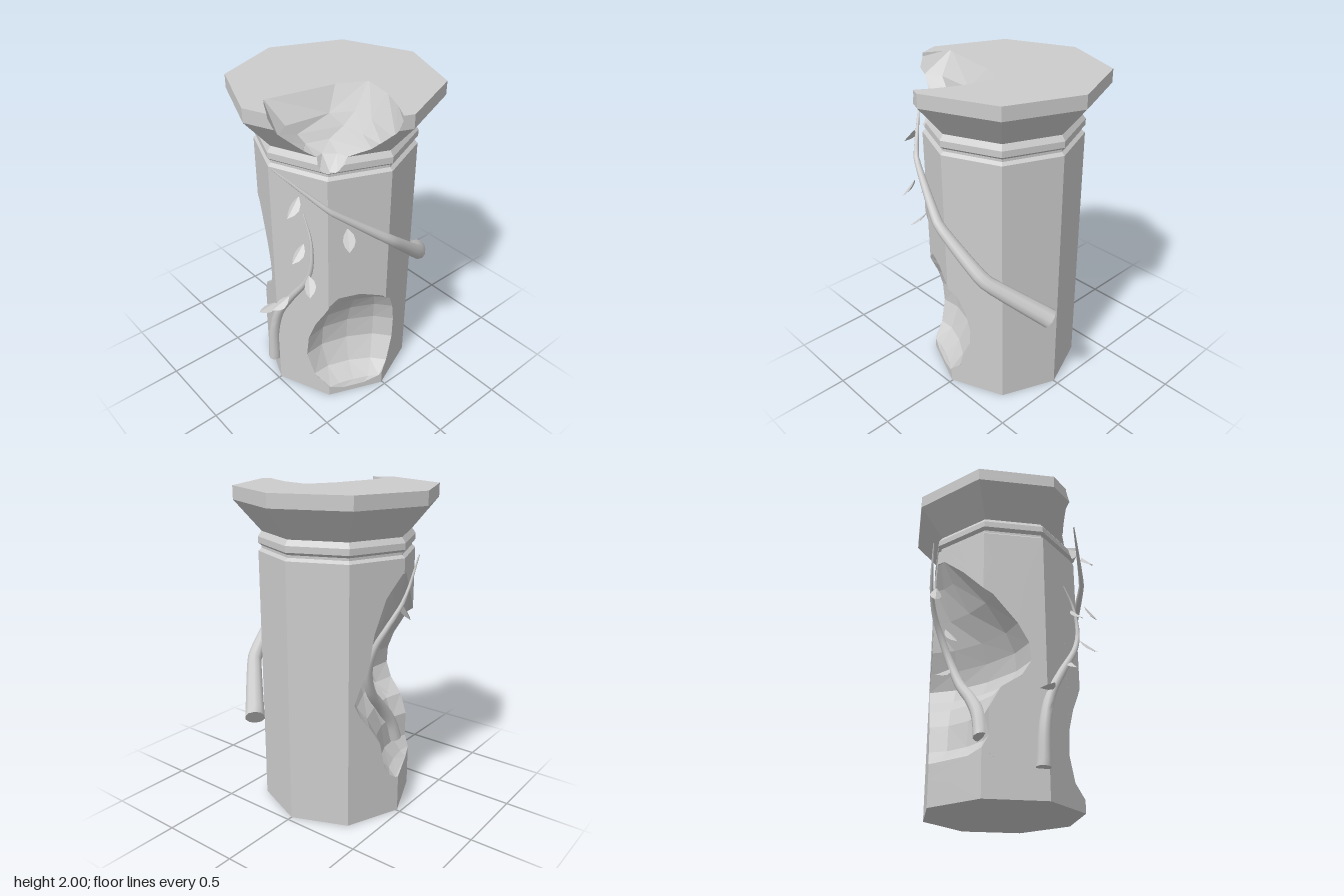
import * as THREE from 'three';
import { ConvexGeometry } from 'three/addons/geometries/ConvexGeometry.js';
import { toCreasedNormals } from 'three/addons/utils/BufferGeometryUtils.js';

const V = (x, y, z) => new THREE.Vector3(x, y, z);
const stone = new THREE.MeshStandardMaterial({ color: 0xcccccc, flatShading: true });
const wood = new THREE.MeshStandardMaterial({ color: 0xcccccc });
const leafMat = new THREE.MeshStandardMaterial({ color: 0xcccccc, flatShading: true, side: THREE.DoubleSide });
const EPS = 1e-5;
const planeOf = p => new THREE.Plane().setFromCoplanarPoints(p[0], p[1], p[2]);

// Convex polygon cut by a plane: [part in front, part behind]
function split(poly, plane) {
  const front = [], back = [], d = poly.map(p => plane.distanceToPoint(p));
  poly.forEach((p, i) => {
    const j = (i + 1) % poly.length;
    if (d[i] > -EPS) front.push(p);
    if (d[i] < EPS) back.push(p);
    if (d[i] * d[j] < 0 && Math.min(Math.abs(d[i]), Math.abs(d[j])) > EPS) {
      const x = p.clone().lerp(poly[j], d[i] / (d[i] - d[j]));
      front.push(x);
      back.push(x);
    }
  });
  const anyFront = d.some(v => v > EPS), anyBack = d.some(v => v < -EPS);
  return [anyFront ? front : null, anyBack || !anyFront ? back : null];
}
const inside = (poly, planes) => planes.reduce((rest, pl) => rest && split(rest, pl)[1], poly);

// Pieces of a polygon lying outside a convex solid
function outside(poly, planes) {
  if (!inside(poly, planes)) return [poly];
  const out = [];
  planes.reduce((rest, pl) => {
    const [f, b] = split(rest, pl);
    if (f) out.push(f);
    return b;
  }, poly);
  return out;
}

// Hollow as a stack of convex slabs between sections [y, [[x, z], ...]]
function hollow(sections) {
  const ends = [sections[0][0], sections[sections.length - 1][0]];
  return sections.slice(1).map((s, i) => {
    const pts = [sections[i], s].flatMap(([y, ring]) => ring.map(([x, z]) => V(x, y, z)));
    const pos = new ConvexGeometry(pts).attributes.position, faces = [];
    for (let k = 0; k < pos.count; k += 3) {
      faces.push([0, 1, 2].map(n => V(0, 0, 0).fromBufferAttribute(pos, k + n)));
    }
    const open = f => Math.abs(planeOf(f).normal.y) < 0.999 || ends.some(e => Math.abs(f[0].y - e) < EPS);
    return { planes: faces.map(planeOf), faces: faces.filter(open) };
  });
}

// Scooped section between two wall points, sunk by depth behind their chord
function scoop([y, xl, zl, xr, zr, depth]) {
  let nx = zr - zl, nz = xl - xr;
  const k = Math.sign(nx * (xl + xr) + nz * (zl + zr)) / Math.hypot(nx, nz);
  nx *= k;
  nz *= k;
  const at = (t, o) => [xl + (xr - xl) * t + nx * o, zl + (zr - zl) * t + nz * o];
  return [y, [at(0, 0.4), at(0, 0), at(0.2, -depth * 0.75), at(0.5, -depth),
    at(0.8, -depth * 0.75), at(1, 0), at(1, 0.4)]];
}

// Octagonal column from a [radius, y] profile, minus the hollows
function carvedColumn(profile, slabs) {
  const rings = profile.map(([r, y]) => Array.from({ length: 8 }, (_, i) =>
    V(r * Math.cos(i * Math.PI / 4), y, r * Math.sin(i * Math.PI / 4))));
  const walls = [rings[0], [...rings[rings.length - 1]].reverse()], inner = [];
  rings.slice(1).forEach((hi, i) => {
    const lo = rings[i];
    const sides = lo.map((p, k) => [p, hi[k], hi[(k + 1) % 8], lo[(k + 1) % 8]]);
    walls.push(...sides);
    const planes = [...sides, lo, [...hi].reverse()].map(planeOf);
    slabs.forEach(s => s.faces.forEach(f => {
      const piece = inside(f, planes);
      if (piece) inner.push([...piece].reverse());
    }));
  });
  const cut = slabs.reduce((polys, s) => polys.flatMap(p => outside(p, s.planes)), walls);
  return polygonGeometry([...cut, ...inner]);
}

// Welds convex polygons, splits edges at touching corners and fans each from its middle
function polygonGeometry(polys) {
  const shared = new Map();
  const weld = p => {
    const key = p.toArray().map(c => Math.round(c * 5000)).join();
    if (!shared.has(key)) shared.set(key, p);
    return shared.get(key);
  };
  const welded = polys.map(poly => poly.map(weld).filter((p, i, a) => p !== a[(i + 1) % a.length]));
  const corners = [...shared.values()], out = [];
  const ab = V(0, 0, 0), av = V(0, 0, 0);
  welded.filter(p => p.length > 2).forEach(poly => {
    const loop = poly.flatMap((a, i) => {
      ab.subVectors(poly[(i + 1) % poly.length], a);
      const len2 = ab.lengthSq(), hits = [];
      corners.forEach(v => {
        const t = av.subVectors(v, a).dot(ab) / len2;
        if (t > 1e-4 && t < 1 - 1e-4 && av.addScaledVector(ab, -t).lengthSq() < 6e-8) hits.push([t, v]);
      });
      return [a, ...hits.sort((p, q) => p[0] - q[0]).map(h => h[1])];
    });
    const mid = poly.reduce((s, p) => s.add(p), V(0, 0, 0)).divideScalar(poly.length);
    loop.forEach((p, i) => {
      const tri = [mid, p, loop[(i + 1) % loop.length]];
      if (new THREE.Triangle(...tri).getArea() > 3e-8) tri.forEach(v => out.push(v.x, v.y, v.z));
    });
  });
  const g = new THREE.BufferGeometry();
  g.setAttribute('position', new THREE.Float32BufferAttribute(out, 3));
  g.computeVertexNormals();
  return g;
}

// Tapered tube with a closed thick end
function stem(points, r0, r1, tension = 0.5) {
  const curve = new THREE.CatmullRomCurve3(points.map(p => V(...p)), false, 'catmullrom', tension);
  const n = 32, sides = 10;
  const g = new THREE.TubeGeometry(curve, n, 1, sides);
  const pos = g.attributes.position, v = V(0, 0, 0);
  for (let i = 0; i <= n; i++) {
    const t = Math.max(i - 1, 0) / (n - 1);
    const c = curve.getPointAt(i / n), target = curve.getPointAt(t);
    const r = i === 0 ? 0 : r0 + (r1 - r0) * t;
    for (let k = 0; k <= sides; k++) {
      const id = i * (sides + 1) + k;
      v.fromBufferAttribute(pos, id).sub(c).multiplyScalar(r).add(target);
      pos.setXYZ(id, v.x, v.y, v.z);
    }
  }
  return toCreasedNormals(g, 0.9);
}

// Folded pointed leaf
function leafGeometry() {
  const g = new THREE.PlaneGeometry(2, 0.13, 2, 4), pos = g.attributes.position;
  const widths = [0.004, 0.028, 0.036, 0.026, 0];
  for (let i = 0; i < pos.count; i++) {
    const w = widths[Math.floor(i / 3)], side = pos.getX(i);
    pos.setX(i, side * w);
    pos.setZ(i, -Math.abs(side) * w * 0.4);
  }
  g.computeVertexNormals();
  return g;
}

export function createModel() {
  const group = new THREE.Group();
  const add = (name, geo, mat) => {
    const m = new THREE.Mesh(geo, mat);
    m.name = name;
    group.add(m);
    return m;
  };

  // Hollows: y, front wall point, rear wall point, depth
  const lowHollow = hollow([
    [0.04, 0.37, 0.25, 0.425, 0.12, 0], [0.07, 0.338, 0.33, 0.467, 0.02, 0.02],
    [0.15, 0.24, 0.375, 0.45, -0.06, 0.06], [0.3, 0.19, 0.396, 0.42, -0.13, 0.08],
    [0.45, 0.205, 0.39, 0.419, -0.135, 0.085], [0.58, 0.25, 0.371, 0.43, -0.11, 0.075],
    [0.69, 0.31, 0.347, 0.45, -0.06, 0.06],
    [0.76, 0.338, 0.33, 0.467, 0.02, 0.04], [0.81, 0.36, 0.28, 0.41, 0.15, 0],
  ].map(scoop));
  const tallHollow = hollow([
    [0.24, -0.37, 0.25, -0.465, -0.02, 0], [0.27, -0.335, 0.336, -0.45, -0.06, 0.04],
    [0.34, -0.3, 0.351, -0.43, -0.1, 0.07], [0.5, -0.3, 0.351, -0.42, -0.13, 0.08],
    [0.62, -0.24, 0.376, -0.39, -0.2, 0.08], [0.7, -0.13, 0.421, -0.37, -0.26, 0.09],
    [0.79, -0.08, 0.442, -0.35, -0.3, 0.09],
    [0.9, -0.09, 0.438, -0.365, -0.26, 0.09], [1.02, -0.15, 0.413, -0.385, -0.21, 0.08],
    [1.2, -0.285, 0.357, -0.4, -0.18, 0.06], [1.4, -0.395, 0.19, -0.43, -0.11, 0.03],
    [1.53, -0.455, 0.05, -0.47, -0.01, 0.003],
  ].map(scoop));

  // Broken corner of the capital
  const beyond = [[0.9, 0.25], [0.9, 0.8], [0.6, 0.8]];
  const chip = hollow([
    [1.665, [[0.31, 0.37], [0.32, 0.31], [0.36, 0.29]]],
    [1.74, [[0.26, 0.35], [0.25, 0.3], [0.3, 0.24], [0.36, 0.22]]],
    [1.775, [[0.215, 0.395], [0.16, 0.34], [0.2, 0.21], [0.34, 0.17], [0.46, 0.13]]],
    [1.82, [[0.18, 0.44], [0.12, 0.36], [0.2, 0.11], [0.34, 0.1], [0.5, 0.11]]],
    [1.88, [[0.165, 0.515], [0.1, 0.42], [0.13, 0.15], [0.2, 0.03], [0.33, 0.03], [0.58, 0.095]]],
    [2.01, [[0.14, 0.558], [-0.02, 0.47], [0.065, 0.05], [0.15, -0.117], [0.33, -0.08], [0.46, -0.02], [0.62, 0.08]]],
  ].map(([y, ring]) => [y, [...ring, ...beyond]]));

  // Shaft, neck ring and flared capital in one stone
  add('column', carvedColumn([
    [0.475, 0], [0.475, 1.62], [0.455, 1.637], [0.455, 1.652], [0.475, 1.668],
    [0.475, 1.705], [0.452, 1.737], [0.61, 1.92], [0.61, 2],
  ], [...lowHollow, ...tallHollow, ...chip]), stone).position.z = 0.007;

  // Vines, from thick end to tip
  add('frontVine', stem([
    [-0.045, 0.17, 0.49], [-0.03, 0.4, 0.49], [0.02, 0.59, 0.48], [0.12, 0.76, 0.46],
    [0.24, 0.94, 0.435], [0.28, 1.08, 0.42], [0.265, 1.24, 0.41], [0.2, 1.38, 0.405],
  ], 0.042, 0.004), wood);
  add('hollowVine', stem([
    [-0.285, 0.36, 0.25], [-0.275, 0.5, 0.2], [-0.27, 0.63, 0.1], [-0.28, 0.76, -0.02], [-0.31, 0.93, -0.1],
    [-0.37, 1.1, -0.12], [-0.44, 1.24, -0.09], [-0.5, 1.4, -0.02], [-0.535, 1.64, 0.06],
  ], 0.046, 0.004), wood);
  add('branch', stem([
    [0.18, 0.67, -0.57], [0.44, 0.92, -0.29], [0.505, 1.19, 0.02],
    [0.38, 1.46, 0.36], [0.17, 1.71, 0.575],
  ], 0.06, 0.004, 0.15), wood);

  // Leaves: position, outward tilt, roll, turn
  const leaf = leafGeometry();
  [
    [0.235, 1.16, 0.48, -0.8, 0.1, 0], [0.32, 0.97, 0.47, -0.8, 0.5, 0.3],
    [0.14, 0.775, 0.55, -0.9, -0.3, 0], [-0.03, 0.62, 0.53, -1.5, 0, 0],
    [0.29, 1.52, 0.54, -0.75, 0.1, 0], [0.48, 1.31, 0.32, -0.6, 0.3, 0.5],
    [-0.485, 1.31, 0.02, -0.5, -0.1, -0.3], [-0.33, 1.1, -0.06, -0.6, 0.4, 0],
    [-0.38, 0.84, -0.06, -0.9, -0.5, -0.7],
  ].forEach(([x, y, z, tilt, roll, turn]) => {
    const m = add('leaf', leaf, leafMat);
    m.position.set(x, y, z);
    m.rotation.set(tilt, turn, roll, 'YXZ');
  });
  return group;
}
